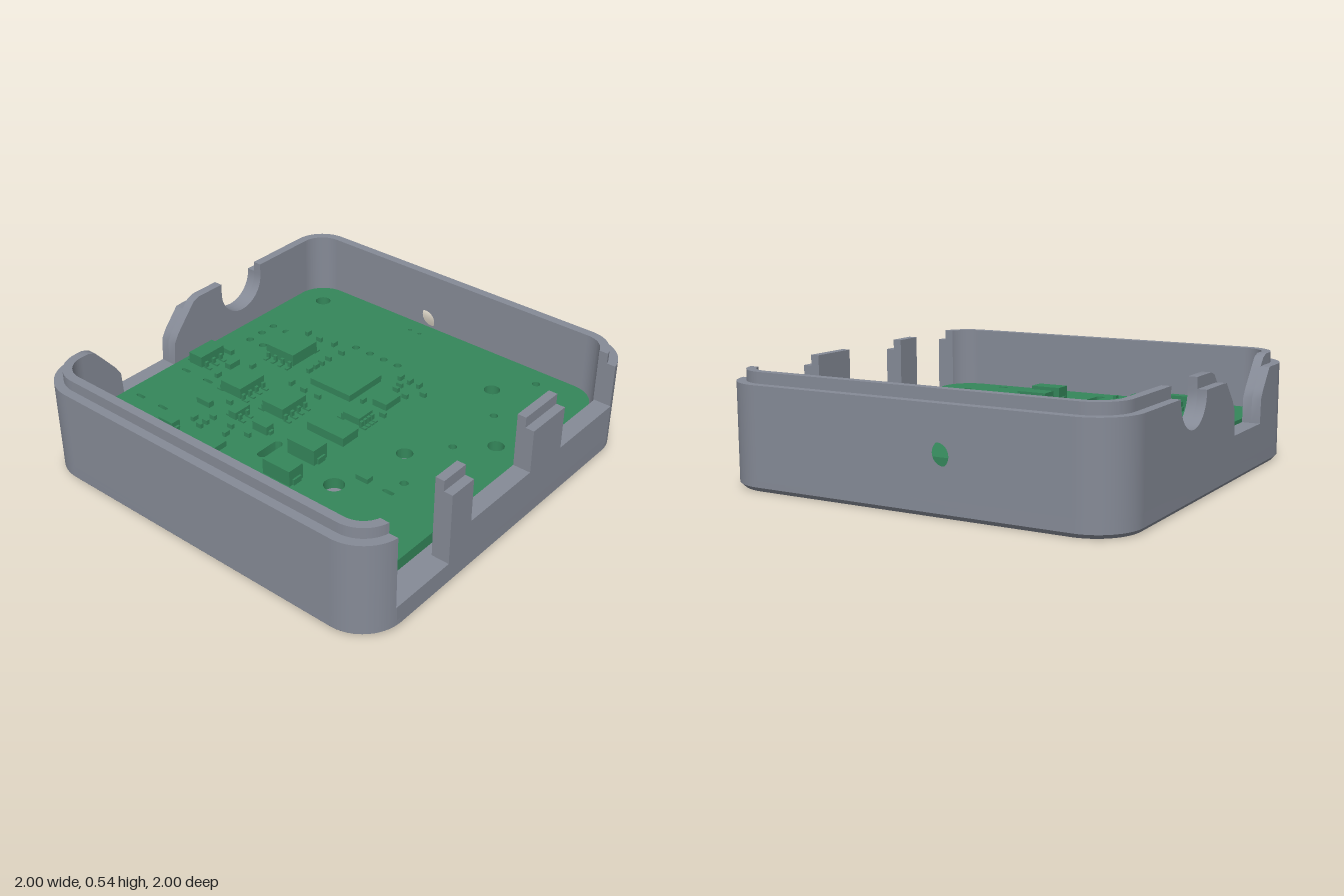
import * as THREE from 'three';
import { mergeGeometries, toCreasedNormals } from 'three/addons/utils/BufferGeometryUtils.js';

const R = 0.21, C = 0.79;                     // outer corner radius and its centre
const INNER = 0.91, MID = 0.955, OUTER = 1;   // wall layers: lip then outer skin
const RIM = 0.482, LIP = 0.535;               // heights of the two layers
const FLOOR = 0.08, BOARD_Y = 0.18, BOARD_TOP = 0.235;
const screws = [[-0.755, -0.755], [0.75, -0.23], [-0.755, 0.75], [0.21, 0.75]];

const extrude = (shape, depth, steps = 1) =>
  new THREE.ExtrudeGeometry(shape, { depth, steps, bevelEnabled: false, curveSegments: 16 });

// Plan shapes use (x, -z); extrude them upwards from y0
function plan(shape, y0, h, steps) {
  return extrude(shape, h, steps).rotateX(-Math.PI / 2).translate(0, y0, 0);
}

function roundedSquare(half, r) {
  const s = new THREE.Shape(), c = half - r, q = Math.PI / 2;
  [[c, c], [-c, c], [-c, -c], [c, -c]].forEach(([x, y], i) => s.absarc(x, y, r, i * q, (i + 1) * q, false));
  s.closePath();
  return s;
}

function circle(x, z, r) {
  return new THREE.Path().absarc(x, -z, r, 0, Math.PI * 2, true);
}

// Slot with round ends
function slot(x, z, w, d) {
  const p = new THREE.Path(), r = Math.min(w, d) / 2, q = Math.PI / 2;
  const a = w > d ? 0 : q, l = Math.max(w, d) / 2 - r, dx = l * Math.cos(a), dy = l * Math.sin(a);
  p.absarc(x + dx, -z + dy, r, a + q, a - q, true);
  p.absarc(x - dx, -z - dy, r, a - q, a - 3 * q, true);
  p.closePath();
  return p;
}

export function createModel() {
  const model = new THREE.Group();
  const grey = new THREE.MeshStandardMaterial({ color: 0x858a96 });
  grey.name = 'grey plastic';
  const green = new THREE.MeshStandardMaterial({ color: 0x34865a });
  green.name = 'board green';
  const add = (name, geo, mat, parent = model) => {
    const m = new THREE.Mesh(toCreasedNormals(geo, 0.5), mat);
    m.name = name;
    parent.add(m);
    return m;
  };

  // Floor with a large centre opening, screw holes and a chamfered lower edge
  const floorShape = roundedSquare(OUTER, R);
  floorShape.holes.push(circle(0, 0, 0.27), ...screws.map(([x, z]) => circle(x, z, 0.073)));
  const floorGeo = plan(floorShape, 0, FLOOR, 4);
  const pos = floorGeo.attributes.position;
  for (let i = 0; i < pos.count; i++) {
    const x = pos.getX(i), z = pos.getZ(i);
    if (pos.getY(i) < 0.001 && Math.max(Math.abs(x), Math.abs(z)) > 0.9) pos.setXYZ(i, x * 0.984, 0, z * 0.984);
  }
  add('floor', floorGeo, grey);

  // Posts that carry the board
  for (const [x, z] of screws) {
    const s = new THREE.Shape().absarc(x, -z, 0.11, 0, Math.PI * 2, false);
    s.holes.push(circle(x, z, 0.04));
    add('boardPost', plan(s, FLOOR, BOARD_Y - FLOOR), grey);
  }

  // Straight walls: a top edge (u, height), clipped to each layer's height
  const layers = [[INNER, MID, LIP], [MID, OUTER, RIM]];
  function wall(name, angle, edge, hole) {
    const group = new THREE.Group();
    group.name = name;
    model.add(group);
    for (const [inside, outside, top] of layers) {
      const pts = [[edge[0][0], 0.05], ...edge, [edge[edge.length - 1][0], 0.05]];
      const s = new THREE.Shape(pts.map(([u, y]) => new THREE.Vector2(u, Math.min(y, top))));
      if (hole) s.holes.push(hole);
      add(name + 'Layer', extrude(s, outside - inside).translate(0, 0, inside).rotateY(angle), grey, group);
    }
  }
  wall('frontWall', 0, [[-C, 1], [C, 1]]);
  wall('backWall', Math.PI, [[-C, 1], [C, 1]], new THREE.Path().absarc(0.17, 0.265, 0.055, 0, Math.PI * 2, true));
  // Right wall with three rectangular openings (u = -z)
  wall('rightWall', Math.PI / 2, [[-0.825, 0.12], [-0.47, 0.12], [-0.47, 1], [-0.32, 1], [-0.32, 0.26],
    [0.13, 0.26], [0.13, 1], [0.38, 1], [0.38, 0.26], [0.825, 0.26]]);
  // Left wall with a round notch and a sloped opening (u = z)
  const notch = [];
  for (let i = 0; i <= 20; i++) {
    const a = Math.PI * (1 + i / 20);
    notch.push([-0.285 + 0.145 * Math.cos(a), 0.475 + 0.145 * Math.sin(a)]);
  }
  wall('leftWall', -Math.PI / 2, [[-C, 1], [-0.43, 1], ...notch, [-0.14, 1],
    [0.02, 0.535], [0.06, 0.52], [0.096, 0.48], [0.18, 0.385], [0.207, 0.34], [0.215, 0.22],
    [0.56, 0.22], [0.567, 0.34], [0.595, 0.385], [0.675, 0.48], [0.71, 0.52], [0.75, 0.535], [C, 1]]);

  // Rounded corners, trimmed beside the right wall's openings
  for (let k = 0; k < 4; k++) {
    const q = Math.PI / 2, a = k * q, b = a + q;
    const cx = (k === 0 || k === 3 ? C : -C), cy = (k < 2 ? C : -C);
    for (const [inside, outside, top] of layers) {
      const ri = inside - C, ro = outside - C;
      const trim = r => Math.asin(0.035 / r);
      const from = r => (k === 0 ? a + trim(r) : a), to = r => (k === 3 ? b - trim(r) : b);
      const s = new THREE.Shape();
      s.absarc(cx, cy, ro, from(ro), to(ro), false);
      s.absarc(cx, cy, ri, to(ri), from(ri), true);
      s.closePath();
      add('wallCorner', plan(s, 0.05, top - 0.05), grey);
    }
  }

  // Circuit board with drilled holes and slots
  const board = roundedSquare(0.903, 0.15);
  const drill = (r, list) => list.forEach(([x, z]) => board.holes.push(circle(x, z, r)));
  drill(0.04, [...screws, [0.463, -0.612], [0.463, 0.087]]);
  drill(0.049, [[0.37, 0.476], [0.37, 0.735]]);
  drill(0.02, [[-0.303, -0.49], [-0.21, -0.49], [-0.12, -0.49], [-0.03, -0.49], [-0.777, -0.377], [-0.687, -0.377],
    [-0.777, -0.288], [-0.777, -0.197], [-0.687, -0.197], [0.6, -0.795], [0.6, -0.43], [0.6, -0.097], [0.6, 0.268],
    [0.733, 0.57], [0.733, 0.707]]);
  drill(0.01, [[-0.2, -0.813], [-0.138, -0.813]]);
  [[-0.03, 0.46, 0.048, 0.15], [-0.03, 0.75, 0.048, 0.15], [-0.813, 0.23, 0.055, 0.02], [-0.66, 0.23, 0.06, 0.02],
    [-0.813, 0.537, 0.055, 0.02], [-0.66, 0.537, 0.06, 0.02], [0.587, 0.363, 0.06, 0.022], [0.587, 0.845, 0.06, 0.022],
  ].forEach(v => board.holes.push(slot(...v)));
  add('circuitBoard', plan(board, BOARD_Y, BOARD_TOP - BOARD_Y), green);

  // Components: x, z, width, depth, height
  const block = (x, z, w, d, h, lift = 0) =>
    new THREE.BoxGeometry(w, h, d).translate(x, BOARD_TOP + lift + h / 2, z);
  const parts = (name, list) => add(name, mergeGeometries(list.map(v => block(...v))), green);

  // Chips with rows of pins along x or z sides
  function chip(x, z, w, d, h, pins, pitch, alongX) {
    const list = [[x, z, w, d, h - 0.012, 0.012]];
    for (let i = 0; i < pins; i++) for (const s of [-1, 1]) {
      const o = (i - (pins - 1) / 2) * pitch;
      const add2 = (px, pz, pw, pd) => list.push([px, pz, pw, pd, 0.008], [
        px - (alongX ? 0 : s * 0.012), pz - (alongX ? s * 0.012 : 0), alongX ? pw : 0.015, alongX ? 0.015 : pd, 0.035]);
      if (alongX) add2(x + o, z + s * (d / 2 + 0.018), 0.018, 0.036);
      else add2(x + s * (w / 2 + 0.018), z + o, 0.036, 0.018);
    }
    parts('pinnedChip', list);
  }
  chip(-0.505, -0.22, 0.18, 0.18, 0.075, 4, 0.048, true);
  chip(-0.475, 0.173, 0.13, 0.168, 0.068, 4, 0.046, false);
  chip(-0.2, 0.173, 0.13, 0.168, 0.068, 4, 0.046, false);
  chip(0.123, 0.013, 0.1, 0.1, 0.05, 4, 0.026, false);
  chip(-0.8, 0.095, 0.085, 0.16, 0.07, 3, 0.05, false);
  chip(-0.325, 0.353, 0.045, 0.1, 0.05, 2, 0.05, false);

  parts('flatChips', [[-0.127, -0.2, 0.25, 0.245, 0.035], [0.14, -0.185, 0.085, 0.11, 0.035],
    [-0.27, 0.64, 0.14, 0.138, 0.03], [0.105, 0.175, 0.22, 0.11, 0.045]]);
  parts('tallComponents', [[0.13, 0.383, 0.16, 0.09, 0.08], [0.13, 0.383, 0.18, 0.05, 0.03],
    [0.15, 0.57, 0.16, 0.09, 0.08], [0.15, 0.57, 0.18, 0.05, 0.03], [-0.16, 0.366, 0.09, 0.05, 0.045],
    [-0.16, 0.366, 0.115, 0.025, 0.02], [-0.52, 0.625, 0.09, 0.05, 0.045], [-0.52, 0.625, 0.115, 0.025, 0.02],
    [-0.52, 0.732, 0.115, 0.053, 0.06]]);
  parts('mediumComponents', [[-0.665, 0.05, 0.037, 0.07, 0.03], [-0.525, 0.383, 0.083, 0.033, 0.03],
    [0.447, 0.36, 0.068, 0.038, 0.025], [-0.765, -0.03, 0.05, 0.025, 0.025], [-0.228, 0.807, 0.025, 0.055, 0.03]]);

  // Small surface parts lying along x, then along z
  const small = (name, list, w, d) => parts(name, list.map(([x, z]) => [x, z, w, d, 0.024]));
  small('smallPartsAcross', [[-0.49, -0.42], [-0.315, -0.39], [0.24, -0.347], [0.1, -0.342], [0.18, -0.28],
    [0.2, -0.083], [-0.233, -0.005], [-0.142, -0.005], [-0.435, 0.307], [-0.405, 0.45], [-0.405, 0.5], [-0.405, 0.54],
    [-0.29, 0.45], [-0.18, 0.45], [-0.4, 0.785], [-0.33, -0.305], [-0.33, -0.25], [0.11, -0.3]], 0.032, 0.018);
  small('smallPartsAlong', [[-0.575, -0.43], [-0.4, -0.433], [-0.33, -0.21], [-0.33, -0.16], [-0.32, -0.015],
    [-0.575, -0.003], [0.063, -0.4], [0.12, -0.4], [0.177, -0.4], [0.05, -0.12], [-0.65, 0.167], [-0.263, 0.508],
    [-0.467, 0.513], [-0.335, 0.713], [-0.14, 0.765]], 0.018, 0.034);

  return model;
}
